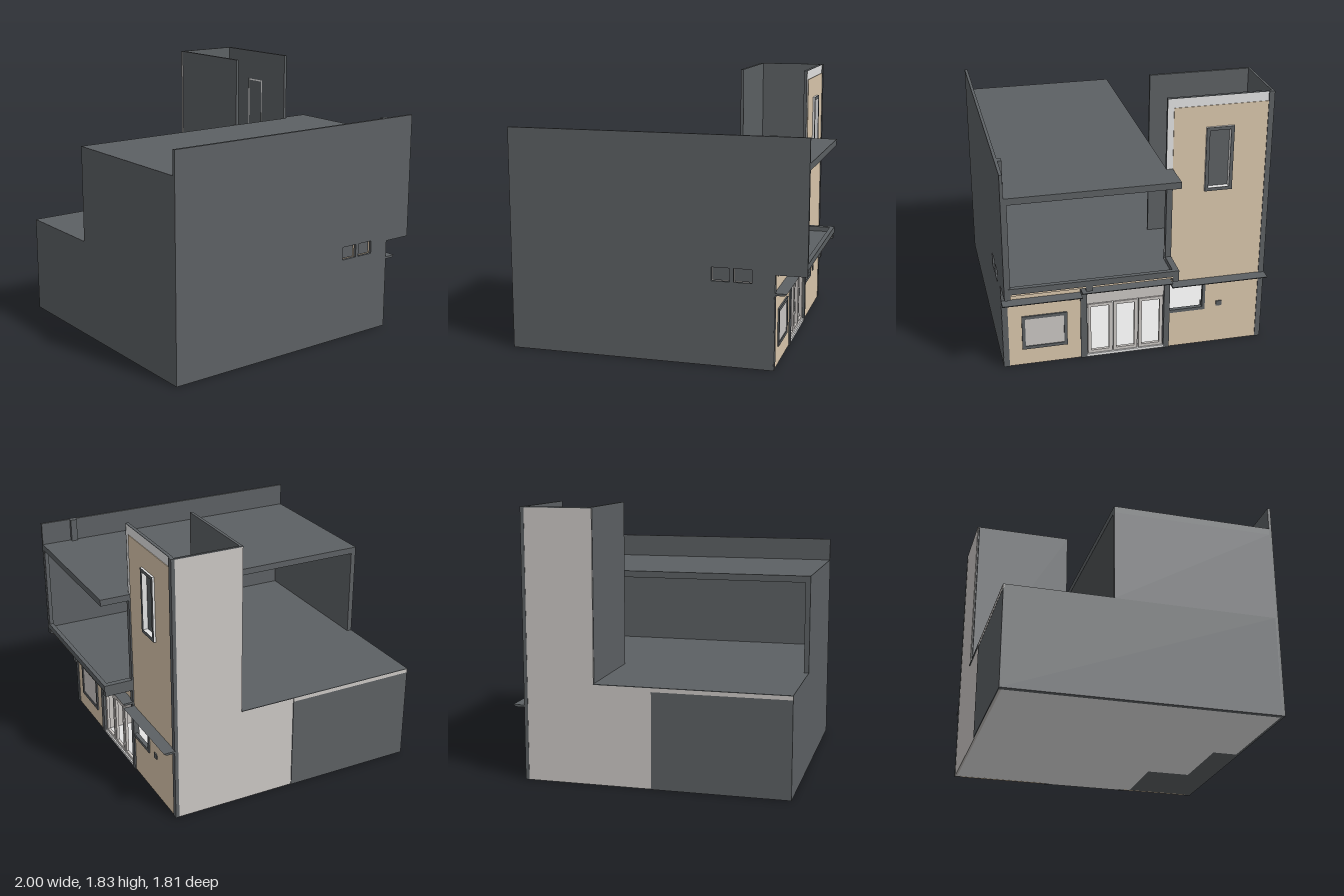
import * as THREE from 'three';

const material = (name, color) => {
  const m = new THREE.MeshStandardMaterial({ color });
  m.name = name;
  return m;
};

export function createModel() {
  const dark = material('charcoal', 0x5c6063);
  const tan = material('sand render', 0xdac7ac);
  const plaster = material('warm grey plaster', 0xcbc7c4);
  const light = material('light grey', 0xe3e3e3);

  const model = new THREE.Group();
  model.name = 'house';

  // Box given by its limits on each axis
  const box = (name, mat, x0, x1, y0, y1, z0, z1) => {
    const mesh = new THREE.Mesh(new THREE.BoxGeometry(x1 - x0, y1 - y0, z1 - z0), mat);
    mesh.position.set((x0 + x1) / 2, (y0 + y1) / 2, (z0 + z1) / 2);
    mesh.name = name;
    model.add(mesh);
  };
  // Four bars round an opening in a side wall
  const sideFrame = (name, mat, x0, x1, y0, y1, z0, z1, t) => {
    box(name, mat, x0, x1, y0, y0 + t, z0, z1);
    box(name, mat, x0, x1, y1 - t, y1, z0, z1);
    box(name, mat, x0, x1, y0 + t, y1 - t, z0, z0 + t);
    box(name, mat, x0, x1, y0 + t, y1 - t, z1 - t, z1);
  };
  // Side wall with the tower window left open
  const towerSide = (name, mat, x0, x1, y0, y1, z0, z1) => {
    box(name, mat, x0, x1, y0, 1.18, z0, z1);
    box(name, mat, x0, x1, 1.605, y1, z0, z1);
    box(name, mat, x0, x1, 1.18, 1.605, z0, -0.63);
    box(name, mat, x0, x1, 1.18, 1.605, -0.465, z1);
  };
  // Prism from an outline of points
  const prism = (name, mat, points, holes, depth, x, y, z) => {
    const toPoints = list => list.map(p => new THREE.Vector2(...p));
    const shape = new THREE.Shape(toPoints(points));
    for (const hole of holes) shape.holes.push(new THREE.Path(toPoints(hole)));
    const mesh = new THREE.Mesh(
      new THREE.ExtrudeGeometry(shape, { depth, bevelEnabled: false }), mat);
    mesh.position.set(x, y, z);
    mesh.name = name;
    model.add(mesh);
  };

  // Front wall: stepped outline with two small openings
  const vents = [[0.38, 0.5], [0.525, 0.645]];
  prism('frontWall', dark,
    [[-1, 0], [0.79, 0], [0.79, 0.63], [1, 0.63], [1, 1.505], [-1, 1.505]],
    vents.map(([a, b]) => [[a, 0.565], [a, 0.655], [b, 0.655], [b, 0.565]]),
    0.02, 0, 0, 0.885);
  for (const [a, b] of vents) box('frontVent', dark, a, b, 0.565, 0.655, 0.865, 0.875);
  box('parapetPier', dark, 0.74, 0.785, 1.345, 1.505, 0.86, 0.885);
  box('frontCornerPier', dark, 0.76, 0.795, 0, 0.63, 0.865, 0.904);
  box('upperFrontPier', dark, 0.97, 0.998, 0.712, 1.3, 0.865, 0.885);

  // Left wall, low behind and tall in front
  box('leftWall', dark, -1, -0.965, 0, 0.676, -0.905, 0.885);
  box('upperLeftWall', dark, -1, -0.965, 0.676, 1.3, -0.2, 0.885);

  // Back wall with a dark lower panel and a plaster tower
  box('backWall', plaster, -0.965, 0.77, 0, 0.676, -0.9, -0.885);
  box('backCap', plaster, -1, -0.08, 0.65, 0.676, -0.907, -0.9);
  box('backPanel', dark, -1, -0.08, 0, 0.65, -0.906, -0.9);
  box('towerBack', plaster, 0.31, 0.77, 0.676, 1.818, -0.9, -0.893);
  box('towerBackLining', dark, 0.33, 0.77, 0.676, 1.818, -0.893, -0.885);
  box('towerBackCap', dark, 0.31, 0.77, 1.818, 1.825, -0.9, -0.885);
  box('backCornerPier', dark, 0.77, 0.795, 0, 1.825, -0.902, -0.865);

  // Ground floor, dark under the front room
  box('floor', light, -0.965, 0.77, 0, 0.018, -0.885, 0.42);
  box('floor', light, -0.965, 0.3, 0, 0.018, 0.42, 0.72);
  box('floor', light, -0.965, -0.22, 0, 0.018, 0.72, 0.885);
  box('frontRoomFloor', dark, 0.3, 0.77, 0, 0.018, 0.42, 0.72);
  box('frontRoomFloor', dark, -0.22, 0.77, 0, 0.018, 0.72, 0.885);
  box('partition', plaster, -0.1, -0.08, 0.018, 0.655, -0.885, 0.72);
  box('frontRoomWall', plaster, -0.08, 0.76, 0.018, 0.655, 0.345, 0.365);
  box('stairwellDownstand', dark, 0.3, 0.32, 0.5, 0.655, -0.885, -0.37);

  // Upper floor slab and terrace
  box('upperFloor', dark, -0.965, 0.775, 0.655, 0.68, -0.37, 0.885);
  box('terrace', dark, -0.965, 0.33, 0.655, 0.68, -0.885, -0.37);
  box('terraceEdge', dark, -1, 0.31, 0.676, 0.68, -0.908, -0.885);
  box('terraceEdge', dark, -1, -0.965, 0.676, 0.68, -0.885, -0.2);

  // Overhang with pale soffit, sand fascia and brackets
  box('overhang', dark, 0.775, 1, 0.67, 0.68, -0.24, 0.885);
  box('overhangCurb', dark, 0.97, 1, 0.68, 0.712, -0.24, 0.885);
  box('overhangCurb', dark, 0.79, 0.97, 0.68, 0.712, -0.24, -0.2);
  for (const [z0, z1] of [[-0.2, 0.333], [0.377, 0.865]]) {
    box('soffit', light, 0.79, 0.975, 0.66, 0.67, z0, z1);
    box('fascia', tan, 0.975, 0.992, 0.655, 0.67, z0, z1);
  }
  for (const [z0, z1] of [[-0.24, -0.2], [0.333, 0.377], [0.865, 0.885]]) {
    box('bracket', dark, 0.79, 0.996, 0.632, 0.67, z0, z1);
  }

  // Roof
  box('roof', dark, -1, 1, 1.3, 1.345, -0.2, 0.885);
  box('roofCorner', dark, 0.79, 1, 1.3, 1.345, -0.24, -0.2);

  // Stair tower: dark lining, pale core and sand outer skin
  box('towerLeftWall', dark, 0.31, 0.33, 0.68, 1.825, -0.885, -0.2);
  towerSide('towerLining', dark, 0.765, 0.774, 0.68, 1.821, -0.865, -0.2);
  towerSide('towerCore', light, 0.774, 0.786, 0.68, 1.821, -0.865, -0.2);
  towerSide('towerRender', tan, 0.786, 0.79, 0.68, 1.76, -0.865, -0.24);
  box('towerSideCap', dark, 0.765, 0.787, 1.821, 1.825, -0.865, -0.2);
  box('towerSideEnd', dark, 0.765, 0.787, 1.345, 1.825, -0.2, -0.197);
  box('sideWallBand', tan, 0.772, 0.79, 0.5, 0.68, -0.865, -0.24);
  box('sideWallBack', tan, 0.772, 0.79, 0, 0.5, -0.865, -0.49);
  box('sideWallSill', tan, 0.772, 0.79, 0, 0.27, -0.49, -0.24);

  // Tower window: pale reveal with a dark face and deep pane
  sideFrame('towerWindowReveal', light, 0.766, 0.803, 1.17, 1.615, -0.64, -0.455, 0.022);
  sideFrame('towerWindowFace', dark, 0.803, 0.806, 1.17, 1.615, -0.64, -0.455, 0.022);
  box('towerWindowPane', dark, 0.765, 0.771, 1.19, 1.595, -0.62, -0.475);

  // Piers on the right side
  box('doorPier', dark, 0.76, 0.8, 0, 0.67, 0.333, 0.377);
  box('doorPier', dark, 0.76, 0.8, 0, 1.3, -0.24, -0.2);

  // Front room side wall and its window
  box('sideWallFront', tan, 0.77, 0.79, 0, 0.67, 0.377, 0.865);
  sideFrame('roomWindowFrame', dark, 0.785, 0.8, 0.122, 0.375, 0.468, 0.775, 0.022);
  box('roomWindowPane', plaster, 0.788, 0.794, 0.144, 0.353, 0.49, 0.753);
  box('wallAboveDoor', tan, 0.77, 0.79, 0.535, 0.67, -0.2, 0.333);

  // High vents
  for (const [z0, z1, split] of [[0.67, 0.79, 0.73], [0.48, 0.542, 0.542]]) {
    box('highVent', plaster, 0.788, 0.793, 0.592, 0.654, z0, z1);
    box('highVentShutter', dark, 0.791, 0.796, 0.592, 0.61, z0, split);
  }

  // Stair window frame
  box('stairWindowFrame', dark, 0.77, 0.798, 0.27, 0.292, -0.49, -0.24);
  box('stairWindowFrame', dark, 0.77, 0.798, 0.292, 0.5, -0.49, -0.47);

  // Glazed door: transom and three open leaves
  box('doorTransom', plaster, 0.77, 0.784, 0.41, 0.535, -0.2, 0.333);
  box('doorStep', light, 0.76, 0.795, 0, 0.02, -0.2, 0.333);
  for (let i = 0; i < 3; i++) {
    const z = -0.195 + i * 0.176;
    sideFrame('doorLeaf', plaster, 0.765, 0.785, 0.02, 0.405, z, z + 0.168, 0.022);
  }

  // Canopies: thin blades with a tapered lip
  for (const [y, z0, z1] of [[0.497, 0.375, 0.905], [0.527, -0.24, 0.375], [0.497, -0.905, -0.24]]) {
    prism('canopy', dark, [[0, 0], [0.07, 0], [0.087, 0.015], [0, 0.015]], [],
      z1 - z0, 0.785, y, z0);
  }

  // Wall lamp and meter box
  const lamp = new THREE.Mesh(new THREE.CylinderGeometry(0.014, 0.014, 0.02, 20), dark);
  lamp.rotation.z = Math.PI / 2;
  lamp.position.set(0.79, 0.475, 0.443);
  lamp.name = 'wallLamp';
  model.add(lamp);
  box('meterBox', dark, 0.785, 0.797, 0.285, 0.322, -0.61, -0.57);

  // Two stair flights with a half landing
  const steps = 8, rise = 0.04, run = 0.04;
  for (let i = 0; i < steps; i++) {
    const y = (i + 1) * rise, z = -0.37 - i * run;
    box('lowerStep', dark, 0.56, 0.74, Math.max(0.018, y - 0.07), y, z - run, z);
    const y2 = 0.36 + y, z2 = -0.69 + i * run;
    box('upperStep', dark, 0.33, 0.5, y2 - 0.07, y2, z2, z2 + run);
  }
  box('landing', dark, 0.33, 0.48, 0.325, 0.36, -0.885, -0.69);
  box('landing', dark, 0.48, 0.74, 0.325, 0.36, -0.868, -0.69);

  return model;
}
